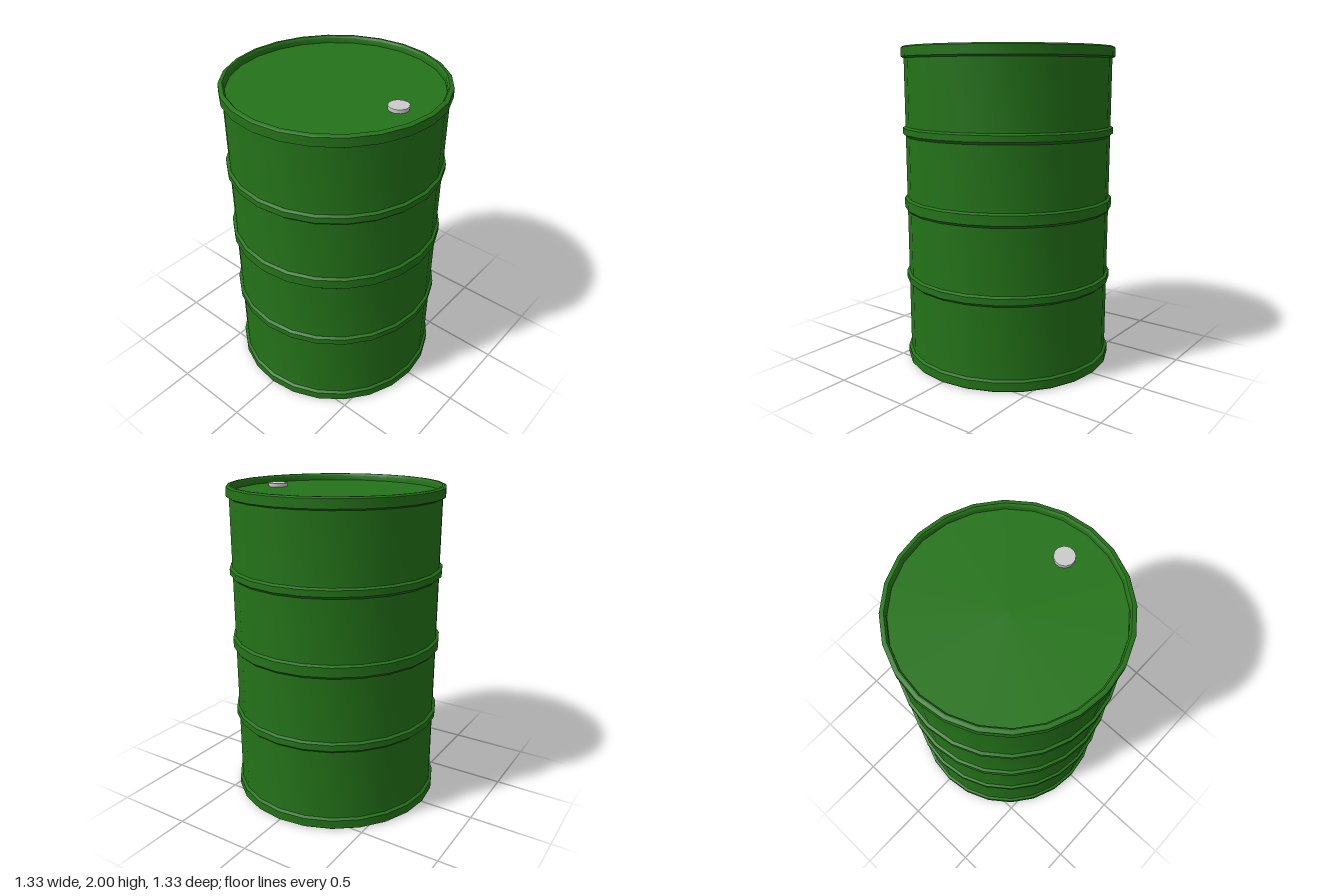
import * as THREE from 'three';
import { toCreasedNormals } from 'three/addons/utils/BufferGeometryUtils.js';

const SIDES = 24;
const BODY_R = 0.648;
const RING_R = 0.665;
const RIM_R = 0.63; // inside of the end rims

// Raised hoop around the wall, with chamfered edges
const hoop = (bottom, top) => [
  [BODY_R, bottom],
  [RING_R, bottom + 0.016],
  [RING_R, top - 0.01],
  [BODY_R, top],
];

export function createModel() {
  const group = new THREE.Group();
  const green = new THREE.MeshStandardMaterial({ color: 0x247319 });
  const grey = new THREE.MeshStandardMaterial({ color: 0xcccccc });

  // Drum: recessed base, rim, wall with three hoops, rim, recessed lid
  const profile = [
    [0, 0.06],
    [RIM_R, 0.06],
    [RIM_R, 0.012],
    [0.64, 0],
    [0.655, 0],
    [RING_R, 0.008],
    [RING_R, 0.062],
    [BODY_R, 0.072],
    ...hoop(0.52, 0.585),
    ...hoop(0.985, 1.07),
    ...hoop(1.452, 1.515),
    [BODY_R, 1.928],
    [RING_R, 1.938],
    [RING_R, 1.992],
    [0.655, 2],
    [0.64, 2],
    [RIM_R, 1.988],
    [RIM_R, 1.957],
    [0, 1.957],
  ].map(([r, y]) => new THREE.Vector2(r, y));
  const drum = new THREE.Mesh(
    toCreasedNormals(new THREE.LatheGeometry(profile, SIDES), 0.7),
    green
  );
  drum.name = 'drumBody';
  group.add(drum);

  // Filler cap on the lid
  const cap = new THREE.Mesh(new THREE.CylinderGeometry(0.061, 0.061, 0.024, 12), grey);
  cap.name = 'fillerCap';
  cap.position.set(0.44, 1.967, 0);
  cap.rotation.y = Math.PI / 12;
  group.add(cap);

  return group;
}
